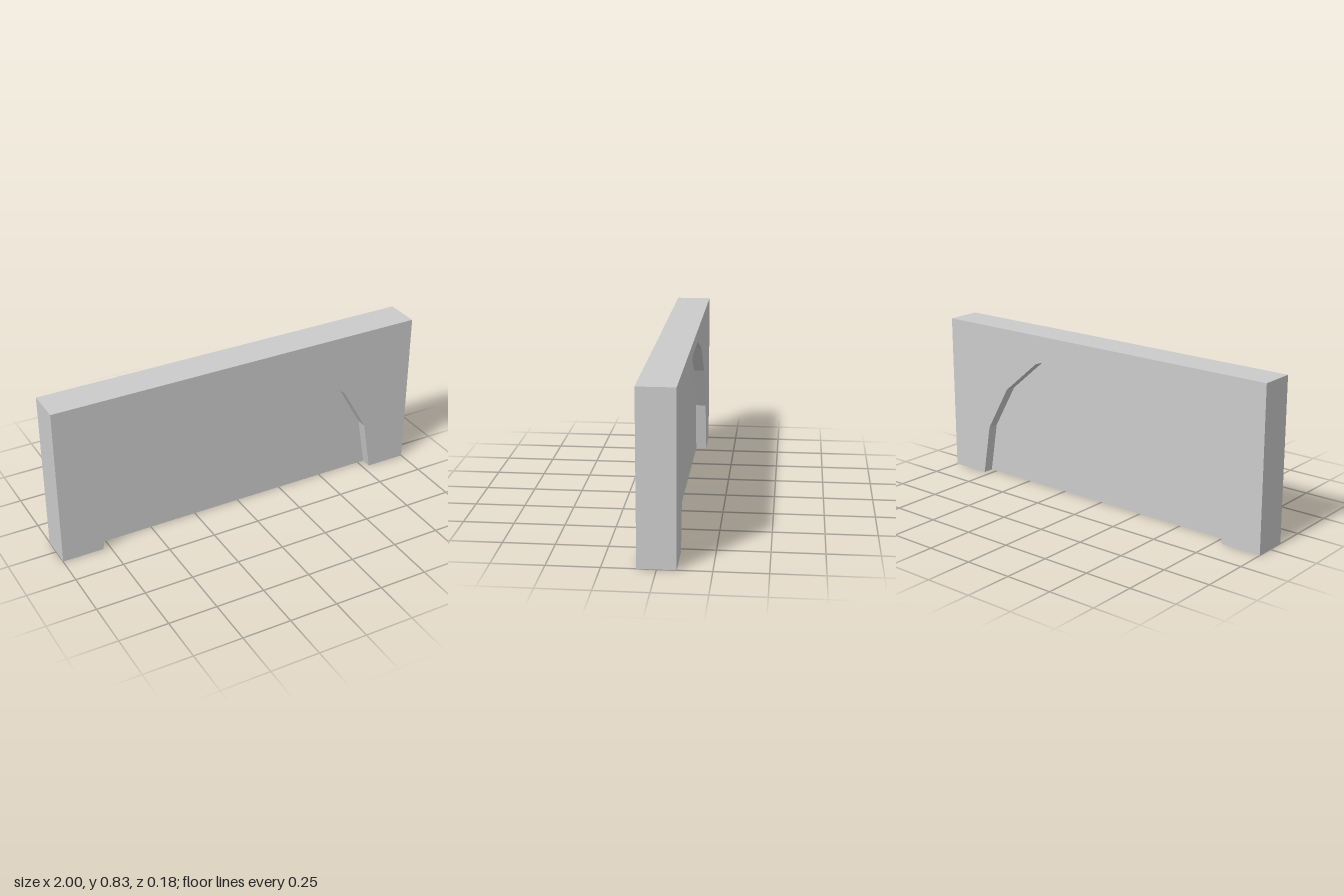
import * as THREE from 'three';

const WIDTH = 2, HEIGHT = 0.835, DEPTH = 0.18;
const ARCH_RADIUS = 0.787, ARCH_SIDES = 9, INFILL_DEPTH = 0.068;

// Faceted semicircle from the left foot over to the right foot
function archPoints() {
  return Array.from({ length: ARCH_SIDES + 1 }, (_, i) => {
    const a = (i / ARCH_SIDES) * Math.PI;
    return new THREE.Vector2(Math.cos(a) * ARCH_RADIUS, i === ARCH_SIDES ? 0 : Math.sin(a) * ARCH_RADIUS);
  });
}

// Outline extruded evenly about z = 0
function slab(name, points, depth, material) {
  const geometry = new THREE.ExtrudeGeometry(new THREE.Shape(points), { depth, bevelEnabled: false });
  geometry.translate(0, 0, -depth / 2);
  const mesh = new THREE.Mesh(geometry, material);
  mesh.name = name;
  return mesh;
}

export function createModel() {
  const group = new THREE.Group();
  group.name = 'archedWall';
  const material = new THREE.MeshStandardMaterial({ color: 0xcccccc, flatShading: true });
  const arch = archPoints();

  // Wall with the arch cut out of its lower edge
  const w = WIDTH / 2;
  const wallOutline = [
    new THREE.Vector2(w, 0),
    new THREE.Vector2(w, HEIGHT),
    new THREE.Vector2(-w, HEIGHT),
    new THREE.Vector2(-w, 0),
    ...[...arch].reverse(),
  ];
  group.add(slab('wall', wallOutline, DEPTH, material));

  // Thinner panel filling the arch, recessed on both faces
  group.add(slab('archInfill', arch, INFILL_DEPTH, material));

  return group;
}
